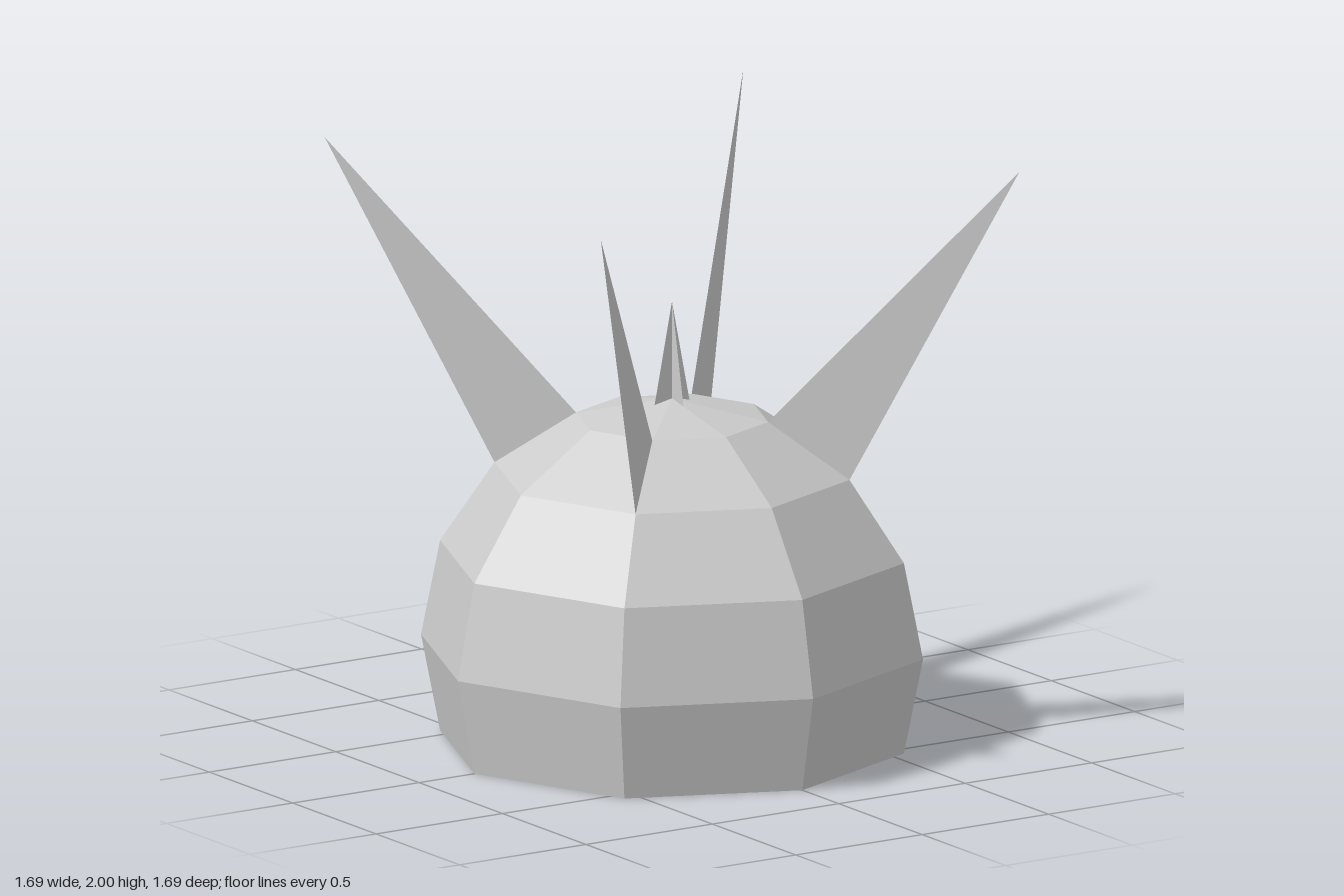
import * as THREE from 'three';

const material = new THREE.MeshStandardMaterial({ color: 0xcccccc, flatShading: true, side: THREE.DoubleSide });
const R = 0.846;                    // dome radius
const STEP = Math.PI / 8;           // angle between dome rings
const CENTRE = R * Math.sin(STEP);  // height of the widest ring

// Thin upright triangular blade: [distance from axis, height] corners, turned about y
function blade(name, corners, angle) {
  const shape = new THREE.Shape(corners.map(([x, y]) => new THREE.Vector2(x, y)));
  const mesh = new THREE.Mesh(new THREE.ShapeGeometry(shape), material);
  mesh.rotation.y = angle;
  mesh.name = name;
  return mesh;
}

export function createModel() {
  const group = new THREE.Group();
  group.name = 'spikedDome';

  // Eight-sided dome, open underneath
  const dome = new THREE.Mesh(
    new THREE.SphereGeometry(R, 8, 5, 0, Math.PI * 2, 0, STEP * 5), material);
  dome.position.y = CENTRE;
  dome.name = 'dome';
  group.add(dome);

  // Four long flat spikes on the diagonal ribs, rooted between two rings
  const ring = (i) => [R * Math.sin(i * STEP), CENTRE + R * Math.cos(i * STEP)];
  const tip = [0.828 * Math.SQRT2, 2];
  for (let i = 0; i < 4; i++) {
    group.add(blade('outerSpike' + (i + 1), [ring(2), tip, ring(1)], Math.PI / 4 + i * Math.PI / 2));
  }

  // Small crown spike made of two crossed blades
  for (let i = 0; i < 2; i++) {
    group.add(blade('crownSpike' + (i + 1), [[-0.07, 1.15], [0.07, 1.15], [0, 1.5]], i * Math.PI / 2));
  }
  return group;
}
